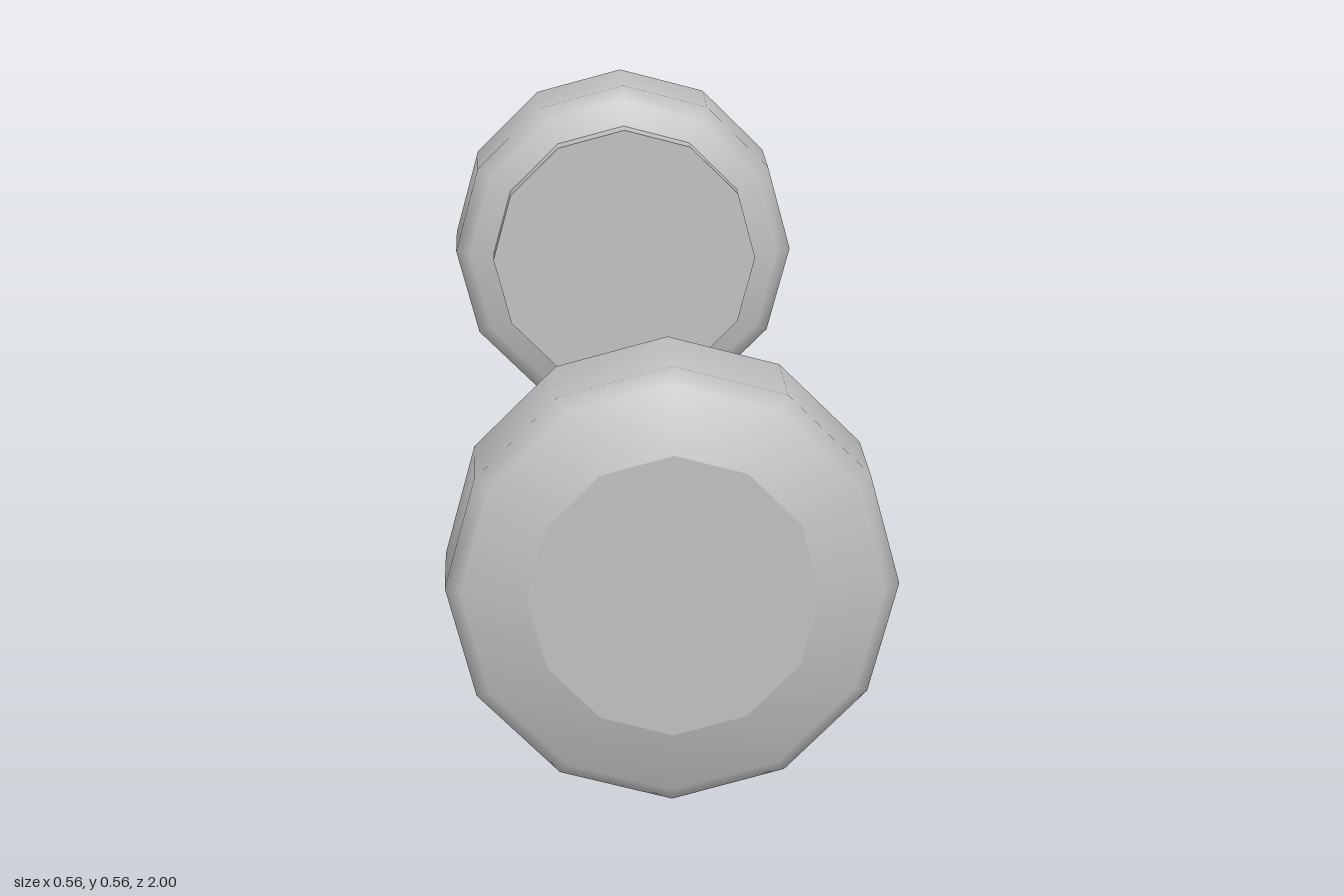
import * as THREE from 'three';

const SIDES = 12;
const RADIUS = 0.279;

export function createModel() {
  const grey = new THREE.MeshStandardMaterial({ color: 0xbfbfbf });
  grey.name = 'grey';

  const add = (parent, name, geometry, z = 0, turn = 0) => {
    const mesh = new THREE.Mesh(geometry, grey);
    mesh.name = name;
    mesh.position.z = z;
    mesh.rotation.y = turn;
    parent.add(mesh);
  };

  // Surface of revolution around z, from [radius, z] pairs with z ascending
  const turned = (profile) =>
    new THREE.LatheGeometry(profile.map(([r, z]) => new THREE.Vector2(r, z)), SIDES).rotateX(Math.PI / 2);

  // Tyre: smooth rounded shoulders on both sides
  const tyre = turned([
    [0.179, 0.774], [0.256, 0.796], [RADIUS, 0.815],
    [RADIUS, 0.957], [0.26, 0.975], [0.179, 1],
  ]);
  // Collar stepping out of the inner side
  const collar = turned([[0.217, 0.75], [0.217, 0.79]]);
  const outerDisc = new THREE.CircleGeometry(0.179, SIDES);
  const innerDisc = new THREE.CircleGeometry(0.217, SIDES);

  const model = new THREE.Group();
  model.name = 'wheelPair';
  for (const [name, turn] of [['frontWheel', 0], ['backWheel', Math.PI]]) {
    const wheel = new THREE.Group();
    wheel.name = name;
    add(wheel, 'tyre', tyre);
    add(wheel, 'outerDisc', outerDisc, 1);
    add(wheel, 'collar', collar);
    add(wheel, 'innerDisc', innerDisc, 0.75, Math.PI);
    wheel.position.y = RADIUS;
    wheel.rotation.y = turn;
    model.add(wheel);
  }
  return model;
}
